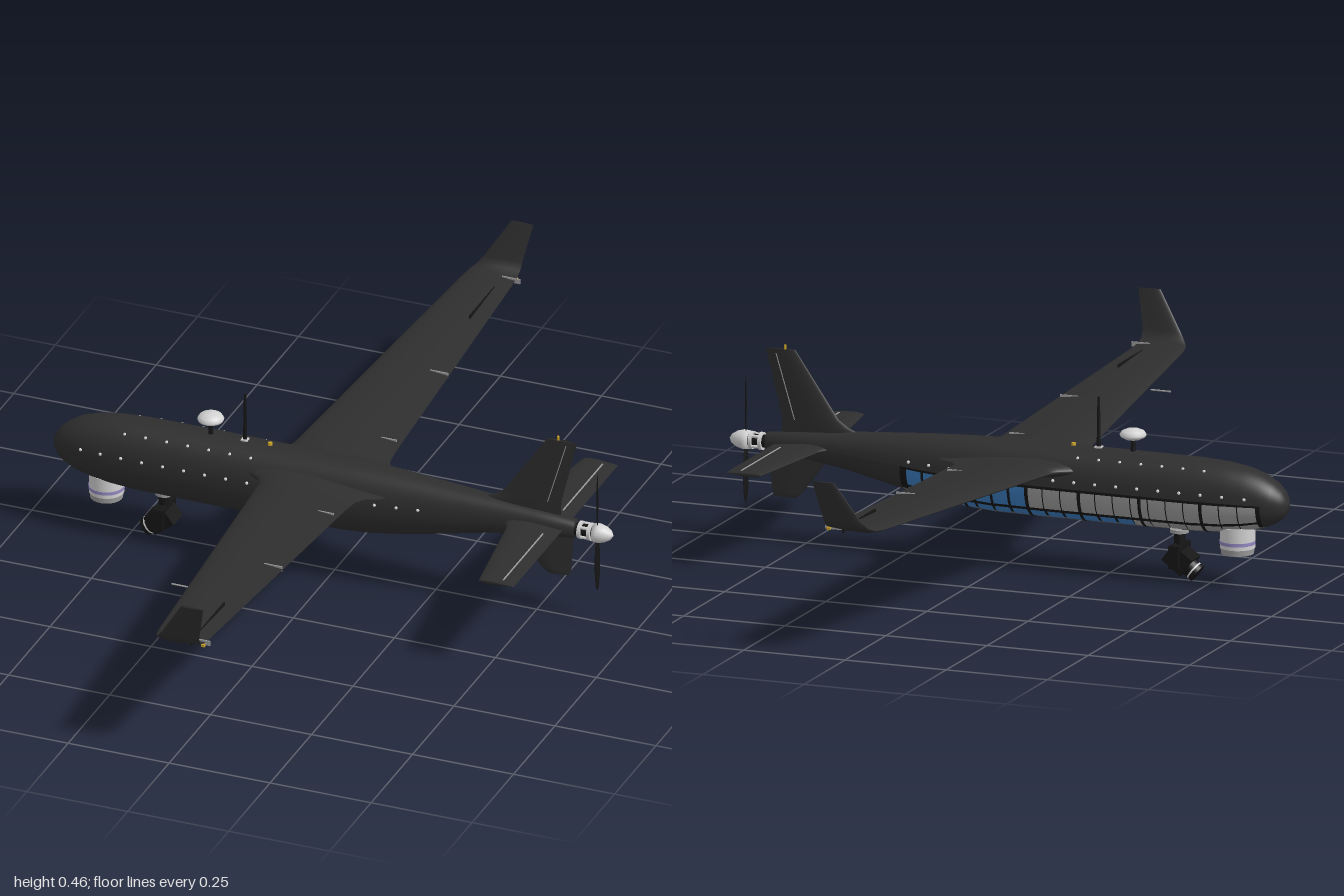
import * as THREE from 'three';

const mat = (name, color, side = THREE.FrontSide) => {
  const m = new THREE.MeshStandardMaterial({ color, side });
  m.name = name;
  return m;
};

// hull stations: x, bottom y, top y, half width
const HULL = [
  [-0.692, 0.2, 0.204, 0.002], [-0.688, 0.184, 0.222, 0.018], [-0.678, 0.172, 0.238, 0.032],
  [-0.66, 0.158, 0.254, 0.045], [-0.63, 0.145, 0.272, 0.056], [-0.59, 0.135, 0.284, 0.064],
  [-0.54, 0.128, 0.292, 0.07], [-0.47, 0.124, 0.296, 0.073], [-0.3, 0.123, 0.297, 0.073],
  [-0.1, 0.123, 0.297, 0.071], [0.03, 0.124, 0.297, 0.068], [0.1, 0.129, 0.295, 0.064],
  [0.2, 0.145, 0.29, 0.056], [0.3, 0.167, 0.283, 0.047], [0.4, 0.189, 0.276, 0.037],
  [0.5, 0.204, 0.267, 0.028], [0.595, 0.212, 0.258, 0.021], [0.6, 0.23, 0.24, 0.004],
];

function hullAt(x) {
  let i = 0;
  while (i < HULL.length - 2 && HULL[i + 1][0] < x) i++;
  const a = HULL[i], b = HULL[i + 1], t = (x - a[0]) / (b[0] - a[0]);
  return a.map((v, k) => v + (b[k] - v) * t);
}

// point on the hull; angle 0 faces +z, PI/2 is the top
function hullPoint(x, a, scale = 1) {
  const [, lo, hi, w] = hullAt(x);
  const soft = (v) => Math.sign(v) * Math.abs(v) ** 0.9;
  return [x, (lo + hi) / 2 + soft(Math.sin(a)) * scale * (hi - lo) / 2, soft(Math.cos(a)) * scale * w];
}

// smooth skin over rows of points
function skin(rows) {
  const n = rows[0].length, index = [];
  for (let r = 0; r < rows.length - 1; r++)
    for (let c = 0; c < n - 1; c++) {
      const p = r * n + c;
      index.push(p, p + 1, p + n, p + 1, p + n + 1, p + n);
    }
  const g = new THREE.BufferGeometry();
  g.setAttribute('position', new THREE.Float32BufferAttribute(rows.flat(2), 3));
  g.setIndex(index);
  g.computeVertexNormals();
  return g;
}

function hullPatch(x0, x1, a0, a1, scale = 1) {
  const xs = [x0, ...HULL.map((s) => s[0]).filter((x) => x > x0 && x < x1), x1];
  const n = Math.max(3, Math.ceil((a1 - a0) / 0.16));
  return skin(xs.map((x) => Array.from({ length: n + 1 }, (_, i) => hullPoint(x, a0 + (a1 - a0) * i / n, scale))));
}

// aerofoil loft; sections: leading x, trailing x, y, z, thickness, roll
function loft(sections) {
  const last = [...sections[sections.length - 1]];
  last[4] = 0;
  return skin([...sections, last].map(([x0, x1, y, z, th, roll]) =>
    Array.from({ length: 25 }, (_, i) => {
      const t = i / 12 - 1, s = t * t;
      const h = -Math.sign(t) * th / 2 * Math.sin(Math.PI * s ** 0.6);
      return [x0 + (x1 - x0) * s, y + h * Math.cos(roll), z + h * Math.sin(roll)];
    })));
}

export function createModel() {
  const model = new THREE.Group();
  model.name = 'unmannedAircraft';
  const body = mat('charcoal skin', 0x2e2e2e, THREE.DoubleSide);
  const black = mat('black', 0x151515, THREE.DoubleSide);
  const pale = mat('pale grey', 0xd2d2d2);
  const grey = mat('equipment grey', 0x9c9c9c, THREE.DoubleSide);
  const blue = mat('battery blue', 0x3b7bbd, THREE.DoubleSide);
  const lilac = mat('lilac band', 0x9488c0);
  const yellow = mat('yellow', 0xc9a227);

  const add = (name, geo, m, x = 0, y = 0, z = 0, parent = model) => {
    const mesh = new THREE.Mesh(geo, m);
    mesh.name = name;
    mesh.position.set(x, y, z);
    parent.add(mesh);
    return mesh;
  };
  const box = (name, w, h, d, m, x, y, z, parent) => add(name, new THREE.BoxGeometry(w, h, d), m, x, y, z, parent);
  const cyl = (name, r0, r1, h, m, x, y, z, parent) => add(name, new THREE.CylinderGeometry(r0, r1, h, 24), m, x, y, z, parent);

  // fuselage, with the lower side bay open toward -z
  const PI = Math.PI, bayEnd = PI * 1.5 - 0.08, front = -0.64, rear = 0.25;
  add('fuselage', hullPatch(-0.692, 0.6, bayEnd - 2 * PI, PI), body);
  add('noseSide', hullPatch(-0.692, front, PI, bayEnd), body);
  add('tailSide', hullPatch(rear, 0.6, PI, bayEnd), body);
  add('bayLining', hullPatch(front - 0.01, rear + 0.01, PI - 0.1, bayEnd + 0.1, 0.94), black);

  // equipment in the bay: two rows of cells
  const cells = [[PI + 0.06, PI + 0.68, -0.07], [PI + 0.8, PI + 1.36, -0.34]];
  for (const [a0, a1, split] of cells)
    for (let i = 0; i < 20; i++) {
      const x = -0.63 + i * 0.0435, isBattery = x > split;
      add(isBattery ? 'batteryCell' : 'avionicsUnit',
        hullPatch(x, x + (isBattery ? 0.037 : 0.041), a0, a1, 0.97), isBattery ? blue : grey);
    }
  for (const x of [-0.5, -0.35, -0.2, -0.07, 0.09]) add('bayRib', hullPatch(x - 0.004, x + 0.004, PI, bayEnd, 0.99), black);

  // panel screws
  const screw = new THREE.SphereGeometry(0.004, 8, 6);
  for (let i = 0; i < 17; i++) {
    const x = -0.605 + i * 0.052;
    for (const a of [0.16, PI - 0.16]) add('sideScrew', screw, pale, ...hullPoint(x, a));
    if (i > 1 && i < 9) for (const a of [0.9, PI - 0.9]) add('topScrew', screw, pale, ...hullPoint(x, a, 0.985));
  }

  // wings with upturned tips
  for (const s of [1, -1]) {
    const side = s > 0 ? 'Near' : 'Far';
    const wing = [
      [-0.21, 0.17, 0.25, 0.03, 0.045, 0], [-0.185, 0.14, 0.25, 0.066, 0.04, 0],
      [-0.158, 0.108, 0.25, 0.08, 0.034, 0], [-0.146, 0.093, 0.251, 0.105, 0.03, 0],
      [-0.14, 0.089, 0.254, 0.15, 0.028, 0], [-0.102, 0.077, 0.275, 0.52, 0.02, 0],
      [-0.062, 0.064, 0.297, 0.91, 0.014, 0], [-0.055, 0.063, 0.301, 0.945, 0.013, -0.25],
      [-0.044, 0.063, 0.309, 0.964, 0.012, -0.7], [-0.03, 0.064, 0.327, 0.975, 0.011, -1.2],
      [0.028, 0.083, 0.418, 0.996, 0.008, -1.4],
    ].map((p) => [p[0], p[1], p[2], p[3] * s, p[4], p[5] * s]);
    add('wing' + side, loft(wing), body);
    const wy = (z) => 0.251 + 0.0575 * (z - 0.1);
    for (const z of [0.19, 0.5, 0.935]) box('flapGap' + side, 0.045, 0.012, 0.003, grey, 0.053, wy(z), s * z);
    box('aileronHinge' + side, 0.003, 0.012, 0.2, black, 0.03, wy(0.84), s * 0.84);
    box('wingLight' + side, 0.008, 0.006, 0.008, yellow, 0.062, 0.297, s * 0.945);
    // tailplane
    add('tailplane' + side, loft([
      [0.41, 0.572, 0.236, 0, 0.022, 0], [0.435, 0.572, 0.236, 0.03 * s, 0.018, 0],
      [0.449, 0.572, 0.236, 0.06 * s, 0.014, 0], [0.485, 0.572, 0.236, 0.315 * s, 0.01, 0],
    ]), body);
    box('elevatorHinge' + side, 0.003, 0.0105, 0.24, grey, 0.54, 0.236, s * 0.18);
  }
  const pitot = cyl('pitotTube', 0.002, 0.002, 0.05, grey, -0.11, 0.27, 0.655);
  pitot.rotation.z = PI / 2;

  // fins above and below the tail
  add('upperFin', loft([
    [0.34, 0.56, 0.262, 0, 0.016, PI / 2], [0.395, 0.56, 0.285, 0, 0.016, PI / 2],
    [0.42, 0.562, 0.302, 0, 0.015, PI / 2], [0.527, 0.6, 0.457, 0, 0.011, PI / 2],
  ]), body);
  add('lowerFin', loft([
    [0.43, 0.595, 0.22, 0, 0.015, PI / 2], [0.455, 0.59, 0.195, 0, 0.014, PI / 2],
    [0.51, 0.585, 0.122, 0, 0.012, PI / 2], [0.525, 0.58, 0.109, 0, 0.01, PI / 2],
  ]), body);
  const hinge = box('rudderHinge', 0.002, 0.16, 0.009, grey, 0.551, 0.37, 0);
  hinge.rotation.z = -0.29;
  cyl('finLight', 0.003, 0.003, 0.014, yellow, 0.553, 0.46, 0);

  // motor, spinner and two-blade propeller
  const motor = new THREE.Group();
  motor.name = 'motor';
  motor.position.set(0.6, 0.235, 0);
  motor.rotation.z = -PI / 2;
  model.add(motor);
  cyl('motorCore', 0.015, 0.015, 0.045, black, 0, 0.02, 0, motor);
  for (const y of [0.01, 0.034]) cyl('motorRing', 0.021, 0.021, 0.008, pale, 0, y, 0, motor);
  for (let i = 0; i < 4; i++) {
    const a = PI / 4 + i * PI / 2;
    cyl('motorPost', 0.004, 0.004, 0.03, pale, 0.017 * Math.cos(a), 0.022, 0.017 * Math.sin(a), motor);
  }
  const nose = [[0, 0.04], [0.022, 0.042], [0.023, 0.055], [0.019, 0.07], [0.011, 0.083], [0, 0.09]];
  add('spinner', new THREE.LatheGeometry(nose.map((p) => new THREE.Vector2(...p)), 24), pale, 0, 0, 0, motor);
  for (const s of [1, -1]) {
    const blade = add('propellerBlade', new THREE.SphereGeometry(1, 16, 12), black, 0.65, 0.235 + s * 0.08, 0);
    blade.scale.set(0.0022, 0.07, 0.009);
    blade.rotation.y = s * 0.4;
  }

  // antennas on the back
  cyl('antennaStem', 0.004, 0.006, 0.045, black, -0.307, 0.315, 0);
  const dome = [[0, 0.322], [0.018, 0.325], [0.029, 0.331], [0.031, 0.336], [0.026, 0.344], [0.014, 0.349], [0, 0.351]];
  add('antennaDome', new THREE.LatheGeometry(dome.map((p) => new THREE.Vector2(...p)), 28), pale, -0.307, 0, 0);
  cyl('whipAntenna', 0.003, 0.005, 0.125, black, -0.222, 0.354, 0);
  box('whipBase', 0.016, 0.006, 0.016, pale, -0.222, 0.297, 0);
  cyl('statusLight', 0.005, 0.006, 0.008, yellow, -0.16, 0.299, 0);

  // sensor drum under the nose
  cyl('sensorDrum', 0.041, 0.041, 0.05, pale, -0.565, 0.119, 0);
  cyl('sensorBand', 0.042, 0.042, 0.008, lilac, -0.565, 0.107, 0);
  cyl('sensorNeck', 0.038, 0.038, 0.01, black, -0.565, 0.132, 0);
  cyl('sensorBase', 0.04, 0.038, 0.02, grey, -0.565, 0.09, 0);

  // camera on a gimbal
  cyl('gimbalPlate', 0.022, 0.022, 0.008, grey, -0.422, 0.12, 0);
  cyl('gimbalStem', 0.013, 0.013, 0.035, black, -0.422, 0.1, 0);
  box('gimbalYoke', 0.026, 0.012, 0.076, black, -0.422, 0.084, 0);
  for (const s of [1, -1]) box('gimbalArm', 0.024, 0.05, 0.008, black, -0.422, 0.062, s * 0.036);
  const camera = new THREE.Group();
  camera.name = 'camera';
  camera.position.set(-0.43, 0.052, 0);
  camera.rotation.z = 0.65;
  model.add(camera);
  box('cameraBody', 0.058, 0.048, 0.056, black, 0.006, 0, 0, camera);
  const barrel = cyl('cameraLens', 0.022, 0.022, 0.026, black, -0.034, -0.002, 0, camera);
  const ring = cyl('lensRing', 0.0225, 0.0225, 0.004, pale, -0.036, -0.002, 0, camera);
  barrel.rotation.z = ring.rotation.z = PI / 2;

  // rest the lowest point on the ground
  model.updateMatrixWorld(true);
  const drop = new THREE.Box3().setFromObject(model, true).min.y;
  model.children.forEach((c) => { c.position.y -= drop; });
  return model;
}
